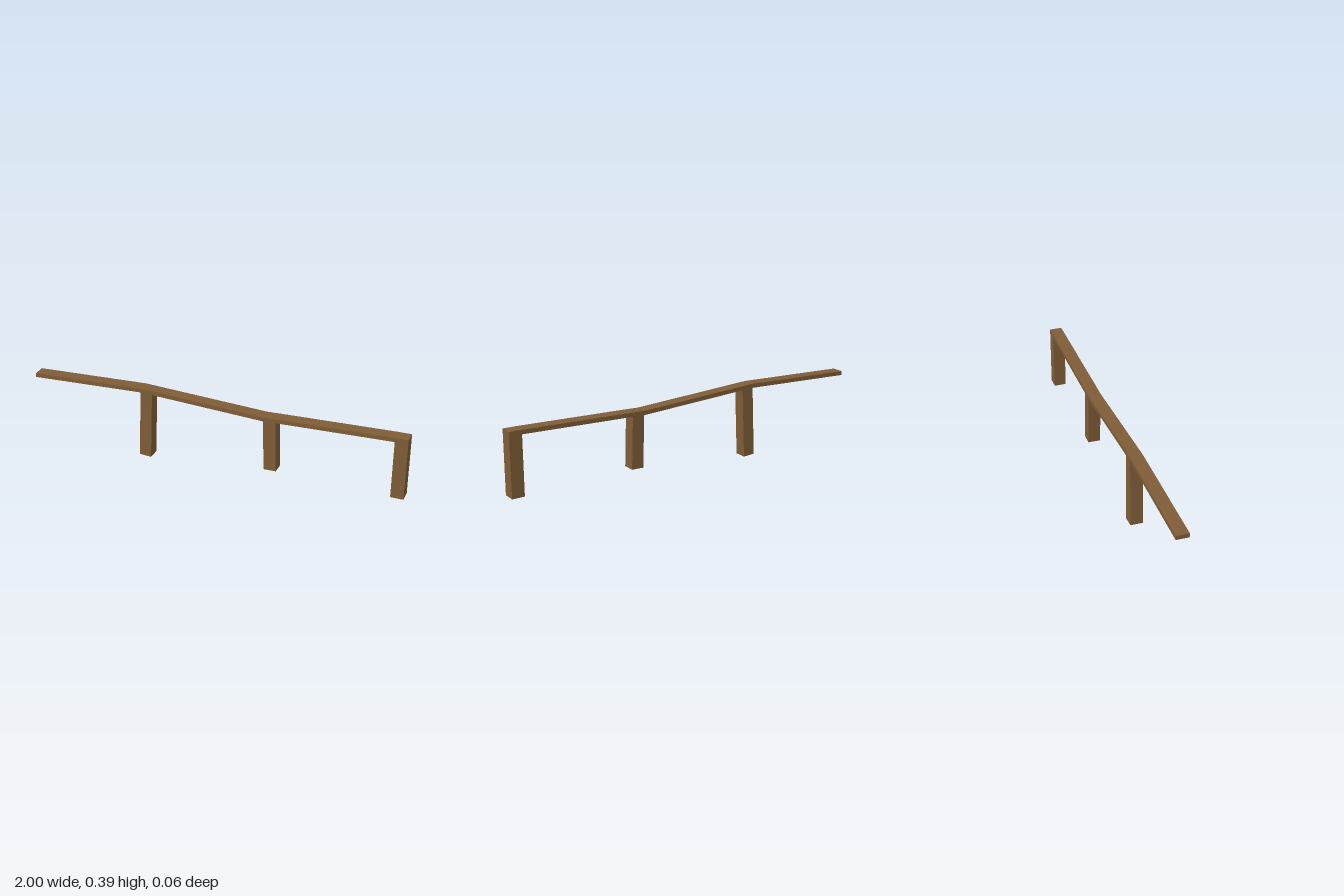
import * as THREE from 'three';

const DEPTH = 0.065;

// Solid beam from its four corners in the xy plane, centred on z = 0
function beam(name, corners, material) {
  const shape = new THREE.Shape(corners.map(([x, y]) => new THREE.Vector2(x, y)));
  const geometry = new THREE.ExtrudeGeometry(shape, { depth: DEPTH, bevelEnabled: false });
  geometry.translate(0, 0, -DEPTH / 2);
  const mesh = new THREE.Mesh(geometry, material);
  mesh.name = name;
  return mesh;
}

export function createModel() {
  const wood = new THREE.MeshStandardMaterial({ color: 0x7f5d37 });
  wood.name = 'brown wood';
  const group = new THREE.Group();
  group.name = 'fence';

  // Posts, slightly leaning: bottom left, bottom right, top right, top left
  const posts = [
    [[-0.407, 0.004], [-0.343, 0], [-0.327, 0.387], [-0.391, 0.39]],
    [[0.281, 0.066], [0.346, 0.068], [0.336, 0.362], [0.271, 0.359]],
    [[0.934, 0.056], [1, 0.056], [1, 0.385], [0.934, 0.384]],
  ];
  posts.forEach((corners, i) => group.add(beam(`post${i + 1}`, corners, wood)));

  // Rails run along the top from post to post, the first one overhanging
  const thickness = 0.022;
  const rails = [
    [[-1, 0.364], [-0.391, 0.39]],
    [[-0.327, 0.387], [0.271, 0.359]],
    [[0.336, 0.362], [0.934, 0.384]],
  ];
  rails.forEach(([[x0, y0], [x1, y1]], i) => {
    const corners = [[x0, y0 - thickness], [x1, y1 - thickness], [x1, y1], [x0, y0]];
    group.add(beam(`rail${i + 1}`, corners, wood));
  });

  return group;
}
